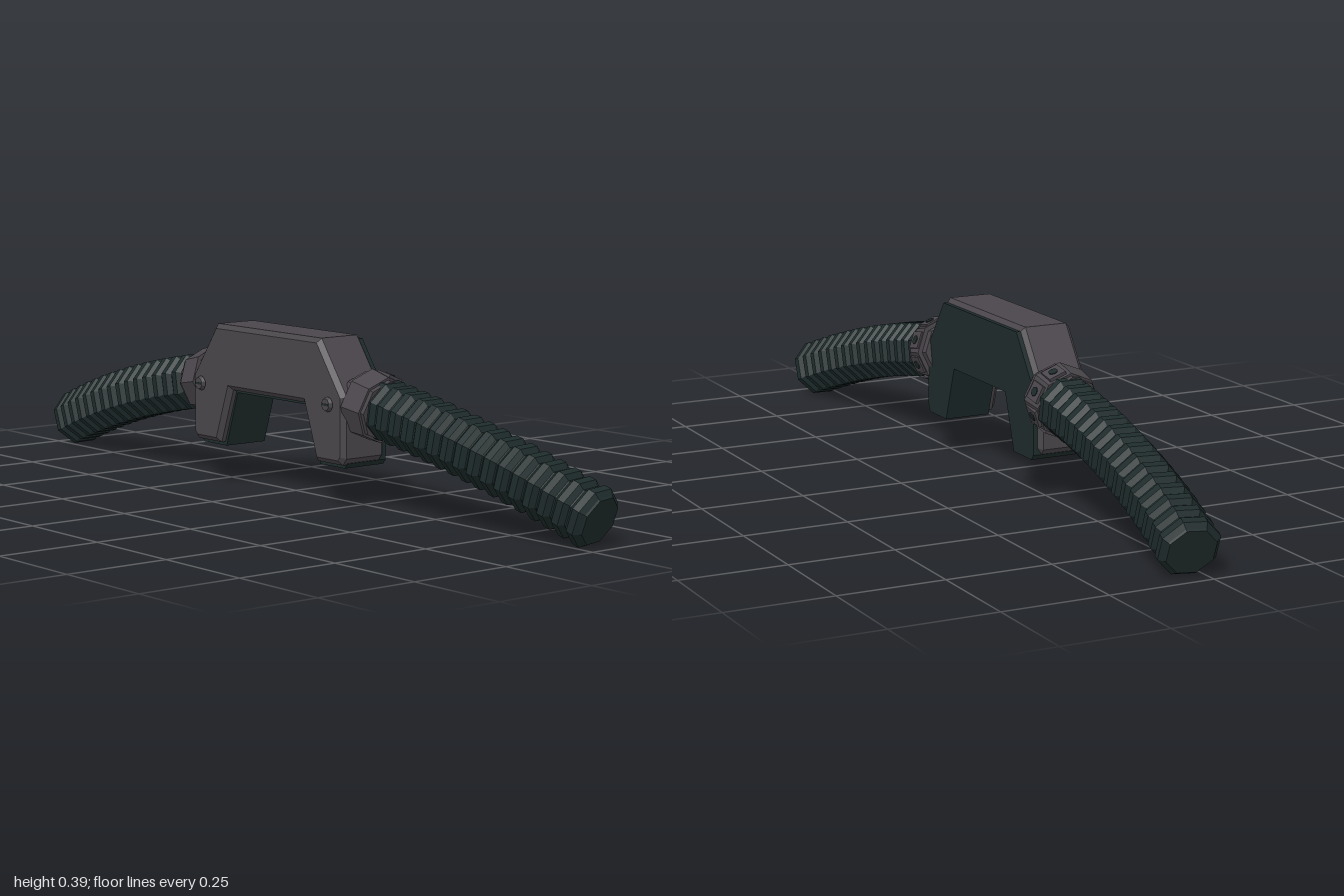
import * as THREE from 'three';

const grey = new THREE.MeshStandardMaterial({ color: 0x4a464b });
grey.name = 'grey plastic';
const dark = new THREE.MeshStandardMaterial({ color: 0x1e2b2b });
dark.name = 'dark rubber';
grey.flatShading = dark.flatShading = true;

function part(name, geometry, material, parent) {
  const mesh = new THREE.Mesh(geometry, material);
  mesh.name = name;
  parent.add(mesh);
  return mesh;
}

// Arch outline from its right half, mirrored to a closed shape
function archShape(half) {
  const left = half.map(([x, y]) => [-x, y]).reverse();
  return new THREE.Shape([...half, ...left].map(([x, y]) => new THREE.Vector2(x, y)));
}

// Axes around a path direction: n lies across, b points to the front
function frame(t) {
  const n = new THREE.Vector3(0, 0, 1).cross(t).normalize();
  return { n, b: t.clone().cross(n) };
}

// Eight-sided ribbed hose, lofted ring by ring along a curve
function hoseGeometry(curve, ribs) {
  const rings = [];
  const profile = [[0.0, 0.061], [0.25, 0.072], [0.65, 0.072], [0.9, 0.061]];
  for (let i = 0; i < ribs; i++) {
    for (const [u, r] of profile) rings.push([(i + u) / ribs, r]);
  }
  rings.push([1, 0.058]);
  const pos = [], index = [];
  rings.forEach(([u, r]) => {
    const p = curve.getPointAt(u);
    const { n, b } = frame(curve.getTangentAt(u));
    for (let k = 0; k < 8; k++) {
      const a = (k + 0.5) * Math.PI / 4;
      const v = p.clone().addScaledVector(n, r * Math.cos(a)).addScaledVector(b, r * Math.sin(a));
      pos.push(v.x, v.y, v.z);
    }
  });
  for (let i = 0; i < rings.length - 1; i++) {
    for (let k = 0; k < 8; k++) {
      const a = i * 8 + k, b = i * 8 + (k + 1) % 8;
      index.push(a, b, b + 8, a, b + 8, a + 8);
    }
  }
  // End caps
  const last = (rings.length - 1) * 8;
  for (let k = 1; k < 7; k++) {
    index.push(0, k + 1, k);
    index.push(last, last + k, last + k + 1);
  }
  const g = new THREE.BufferGeometry();
  g.setAttribute('position', new THREE.Float32BufferAttribute(pos, 3));
  g.setIndex(index);
  const flat = g.toNonIndexed();
  flat.computeVertexNormals();
  return flat;
}

// Clamp collar: eight-sided band with small screwed pads
function addCollar(side, parent) {
  const collar = new THREE.Group();
  collar.name = side > 0 ? 'leftCollar' : 'rightCollar';
  const t = new THREE.Vector3(side, -0.17, 0).normalize();
  const { n, b } = frame(t);
  collar.quaternion.setFromRotationMatrix(new THREE.Matrix4().makeBasis(n.clone().negate(), t, b));
  collar.position.set(side * 0.308, 0.242, 0.012);
  parent.add(collar);
  part('collarBand', new THREE.CylinderGeometry(0.078, 0.083, 0.058, 8), grey, collar);
  const sleeve = part('collarSleeve', new THREE.CylinderGeometry(0.072, 0.072, 0.09, 8), grey, collar);
  sleeve.position.y = -0.005;
  for (const deg of [112.5, 157.5, 202.5, 247.5]) {
    const pad = new THREE.Group();
    pad.name = 'screwPad';
    pad.rotation.y = THREE.MathUtils.degToRad(deg);
    collar.add(pad);
    part('pad', new THREE.BoxGeometry(0.042, 0.044, 0.012), grey, pad).position.z = 0.074;
    const screw = part('padScrew', new THREE.CylinderGeometry(0.011, 0.011, 0.006, 8), dark, pad);
    screw.rotation.x = Math.PI / 2;
    screw.position.z = 0.079;
  }
}

// Slotted screw on the front of the body
function addFrontScrew(side, parent) {
  const screw = new THREE.Group();
  screw.name = 'frontScrew';
  screw.position.set(side * 0.24, 0.248, 0);
  parent.add(screw);
  const head = part('screwHead', new THREE.CylinderGeometry(0.014, 0.018, 0.008, 10), grey, screw);
  head.rotation.x = Math.PI / 2;
  head.position.z = 0.104;
  const shank = part('screwShank', new THREE.CylinderGeometry(0.007, 0.007, 0.02, 8), dark, screw);
  shank.rotation.x = Math.PI / 2;
  shank.position.z = 0.092;
  part('screwSlot', new THREE.BoxGeometry(0.024, 0.005, 0.002), dark, screw).position.z = 0.108;
}

export function createModel() {
  const model = new THREE.Group();
  model.name = 'archedHandleWithHoses';

  // Chamfered grey shell
  const shell = new THREE.ExtrudeGeometry(archShape([
    [0.137, 0.24], [0.183, 0.109], [0.272, 0.109], [0.285, 0.125],
    [0.285, 0.268], [0.195, 0.395],
  ]), { depth: 0.105, bevelThickness: 0.011, bevelSize: 0.011, bevelOffset: -0.011, bevelSegments: 1 });
  shell.translate(0, 0, -0.024);
  part('bodyShell', shell, grey, model);

  // Dark core, showing at the back, under the arch and under the legs
  const core = new THREE.ExtrudeGeometry(archShape([
    [0.134, 0.233], [0.178, 0.1], [0.266, 0.1], [0.275, 0.112],
    [0.275, 0.265], [0.19, 0.385],
  ]), { depth: 0.115, bevelEnabled: false });
  core.translate(0, 0, -0.045);
  part('bodyCore', core, dark, model);

  for (const side of [1, -1]) {
    addCollar(side, model);
    addFrontScrew(side, model);
    const curve = new THREE.QuadraticBezierCurve3(
      new THREE.Vector3(side * 0.325, 0.24, 0.005),
      new THREE.Vector3(side * 0.67, 0.185, 0.005),
      new THREE.Vector3(side * 0.978, 0.065, -0.042));
    part(side > 0 ? 'leftHose' : 'rightHose', hoseGeometry(curve, 16), dark, model);
  }
  return model;
}
